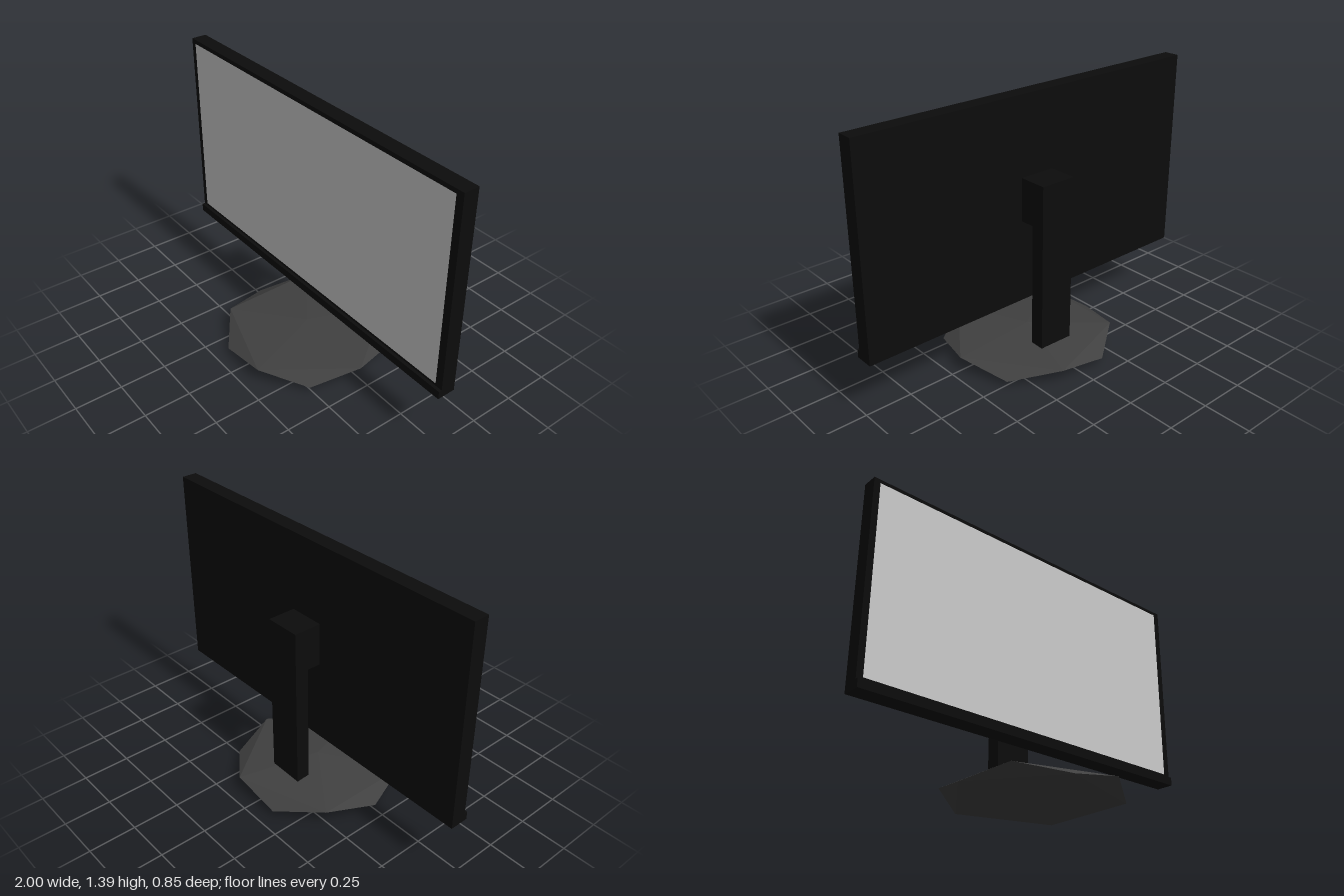
import * as THREE from 'three';
import { ConvexGeometry } from 'three/addons/geometries/ConvexGeometry.js';

const black = new THREE.MeshStandardMaterial({ color: 0x0c0c0c });
const darkGrey = new THREE.MeshStandardMaterial({ color: 0x404040, flatShading: true });
const grey = new THREE.MeshStandardMaterial({ color: 0xcccccc });

// Box given by its [min, max] extent on each axis
function box(name, [x0, x1], [y0, y1], [z0, z1]) {
  const mesh = new THREE.Mesh(new THREE.BoxGeometry(x1 - x0, y1 - y0, z1 - z0), black);
  mesh.position.set((x0 + x1) / 2, (y0 + y1) / 2, (z0 + z1) / 2);
  mesh.name = name;
  return mesh;
}

// Faceted foot: a flattened icosahedron standing on its pole
function makeBase() {
  const radius = 0.446, half = 0.0525;
  const points = [new THREE.Vector3(0, half, 0), new THREE.Vector3(0, -half, 0)];
  for (let i = 0; i < 10; i++) {
    const a = (i * Math.PI) / 5;
    const y = (i % 2 ? -half : half) / Math.sqrt(5);
    points.push(new THREE.Vector3(Math.cos(a) * radius, y, Math.sin(a) * radius));
  }
  const base = new THREE.Mesh(new ConvexGeometry(points), darkGrey);
  base.position.y = half;
  base.name = 'base';
  return base;
}

export function createModel() {
  const model = new THREE.Group();
  model.name = 'monitor';

  // Display housing and the lip along its lower front edge
  model.add(box('housing', [-1, 1], [0.31, 1.39], [-0.073, 0.009]));
  model.add(box('lowerLip', [-1, 1], [0.31, 0.354], [0.009, 0.026]));

  // Screen surface, just proud of the housing
  const screen = new THREE.Mesh(new THREE.PlaneGeometry(1.928, 1.0), grey);
  screen.position.set(-0.003, 1.869 - 1.0, 0.011);
  screen.name = 'screen';
  model.add(screen);

  // Stand: column, mounting block and foot
  model.add(box('column', [-0.097, 0.097], [0.06, 0.977], [-0.224, -0.149]));
  model.add(box('mount', [-0.097, 0.097], [0.75, 0.977], [-0.149, -0.073]));
  model.add(makeBase());

  return model;
}
